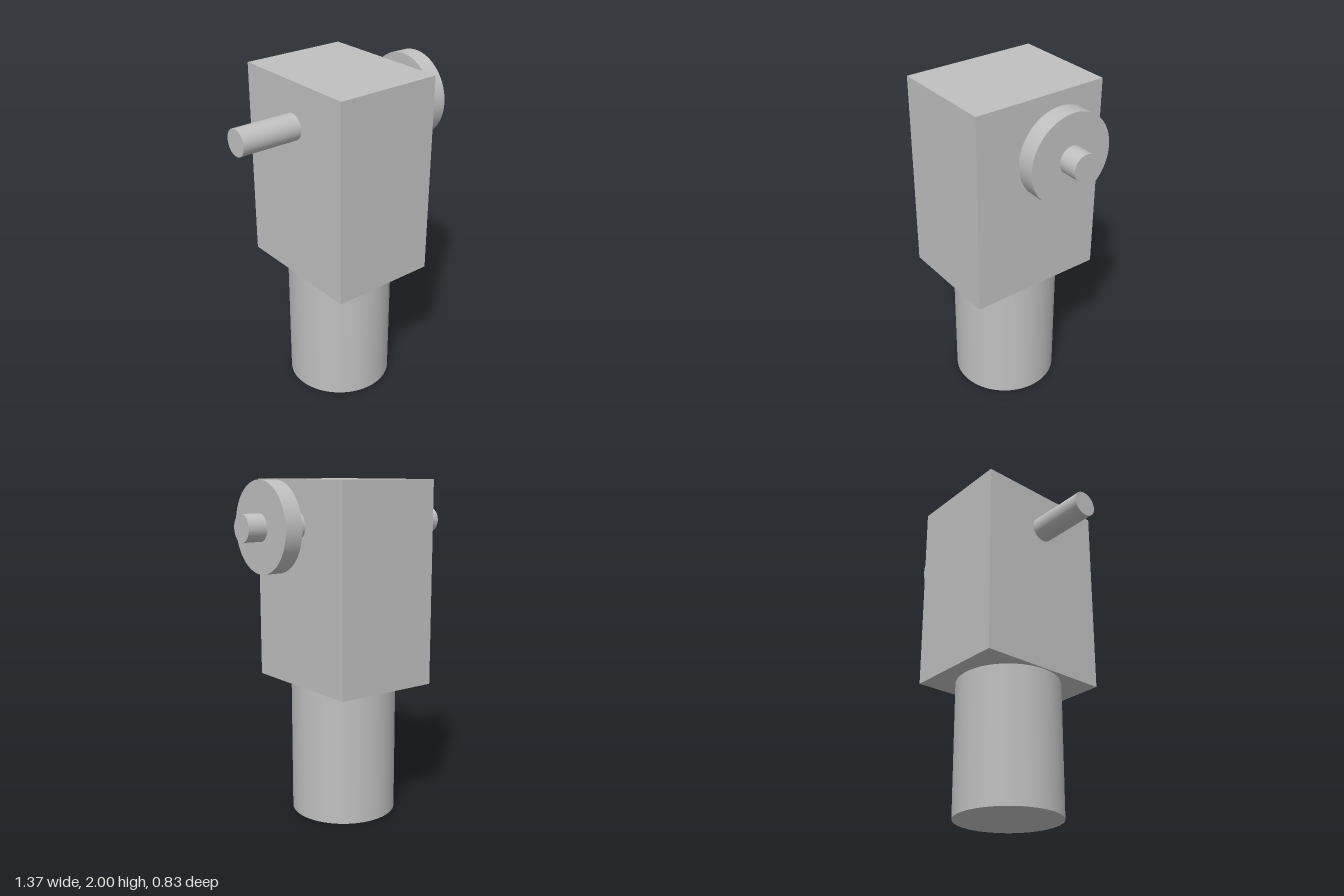
import * as THREE from 'three';

export function createModel() {
  const model = new THREE.Group();
  const grey = new THREE.MeshStandardMaterial({ color: 0xc0c0c0 });
  grey.name = 'grey';

  const add = (name, geometry, x, y) => {
    const mesh = new THREE.Mesh(geometry, grey);
    mesh.name = name;
    mesh.position.set(x, y, 0);
    model.add(mesh);
  };
  // Cylinder lying along x between two ends
  const axle = (name, radius, x0, x1, y) =>
    add(name, new THREE.CylinderGeometry(radius, radius, x1 - x0, 64).rotateZ(Math.PI / 2), (x0 + x1) / 2, y);

  const shaftY = 1.743;

  // Round base and the housing on top of it
  add('base', new THREE.CylinderGeometry(0.315, 0.315, 0.81, 96), 0, 0.405);
  add('housing', new THREE.BoxGeometry(0.648, 1.19, 0.83), 0, 1.405);

  // Shaft through the housing, with a wheel on the left side
  axle('shaft', 0.077, -0.687, 0.687, shaftY);
  axle('wheel', 0.257, 0.468, 0.572, shaftY);

  return model;
}
